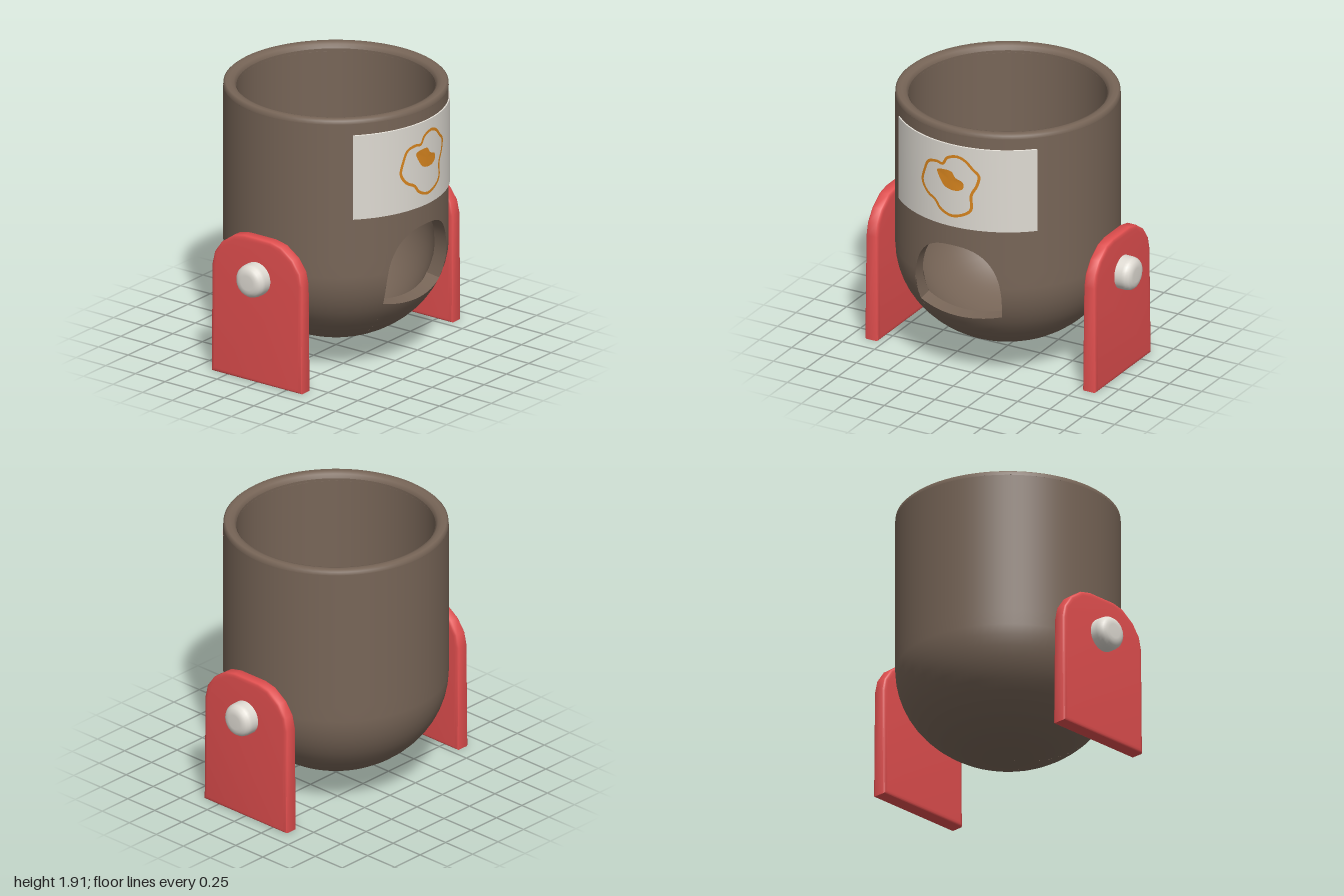
import * as THREE from 'three';
import { toCreasedNormals } from 'three/addons/utils/BufferGeometryUtils.js';

const mat = (name, color, side = THREE.FrontSide) => {
  const m = new THREE.MeshStandardMaterial({ color, side });
  m.name = name;
  return m;
};

const OUTER = { a: 0.76, b: 0.667, half: 0.46, lift: 0, flip: false };
const INNER = { a: 0.67, b: 0.58, half: 0.53, lift: 0.015, flip: true };
const SHOULDER = 0.78; // height where the wall turns into the rounded bottom
const RIM = 1.88;

// position along the wall profile for a height, and back again
const toW = (p, y) => y < SHOULDER
  ? Math.acos(Math.min(1, (SHOULDER - y) / p.b)) : Math.PI / 2 + y - SHOULDER;
function wallPoint(p, theta, w) {
  const dome = w < Math.PI / 2;
  const r = dome ? p.a * Math.sin(w) : p.a;
  const y = dome ? SHOULDER - p.b * Math.cos(w) : SHOULDER + w - Math.PI / 2;
  return new THREE.Vector3(r * Math.sin(theta), y, r * Math.cos(theta));
}
function wallNormal(p, theta, w) {
  const v = Math.min(w, Math.PI / 2);
  const n = new THREE.Vector3(Math.sin(v) / p.a * Math.sin(theta), -Math.cos(v) / p.b, Math.sin(v) / p.a * Math.cos(theta));
  return n.normalize().multiplyScalar(p.flip ? -1 : 1);
}

// curved wall patch over a list of angles, between two heights that may vary by column
function wallPatch(p, thetas, low, high, rows) {
  const pos = [], nor = [], idx = [], n = rows + 1;
  thetas.forEach((t, i) => {
    const w0 = toW(p, low(i)), w1 = toW(p, high(i));
    for (let j = 0; j <= rows; j++) {
      const w = w0 + (w1 - w0) * j / rows;
      pos.push(...wallPoint(p, t, w).toArray());
      nor.push(...wallNormal(p, t, w).toArray());
      if (i && j) {
        const d = i * n + j, c = d - 1, b = d - n, a = b - 1;
        idx.push(...(p.flip ? [a, d, c, a, b, d] : [a, c, d, a, d, b]));
      }
    }
  });
  const g = new THREE.BufferGeometry();
  g.setAttribute('position', new THREE.Float32BufferAttribute(pos, 3));
  g.setAttribute('normal', new THREE.Float32BufferAttribute(nor, 3));
  g.setIndex(idx);
  return g;
}

// closed band joining two matching loops of points
function band(P, Q) {
  const pos = [];
  P.forEach((p, i) => {
    const k = (i + 1) % P.length;
    for (const v of [p, P[k], Q[k], p, Q[k], Q[i]]) pos.push(v.x, v.y, v.z);
  });
  const g = new THREE.BufferGeometry();
  g.setAttribute('position', new THREE.Float32BufferAttribute(pos, 3));
  return toCreasedNormals(g, 0.6);
}

export function createModel() {
  const root = new THREE.Group();
  const brown = mat('brown clay', 0x776557, THREE.DoubleSide);
  const white = mat('off white', 0xdedad2);
  const red = mat('red', 0xe04e4e);
  const orange = mat('orange paint', 0xd9861f, THREE.DoubleSide);
  const add = (name, geo, material, parent = root) => {
    const m = new THREE.Mesh(geo, material);
    m.name = name;
    parent.add(m);
    return m;
  };

  // cup wall with an arched opening through the front
  const cup = new THREE.Group();
  cup.name = 'cup';
  root.add(cup);
  const COLS = 28;
  const s = Array.from({ length: COLS + 1 }, (_, i) => Math.sin((i / COLS - 0.5) * Math.PI));
  const archTop = (v) => 0.6 + 0.45 * Math.max(0, 1 - Math.abs(v) ** 2.5) ** 0.4;
  const loops = [];
  for (const p of [OUTER, INNER]) {
    const side = p.flip ? 'inner' : 'outer';
    const sill = (v) => 0.495 + p.lift + 0.04 * v * v;
    const around = Array.from({ length: 73 }, (_, i) => p.half + (2 * Math.PI - 2 * p.half) * i / 72);
    const front = s.map((v) => v * p.half);
    const floor = () => SHOULDER - p.b, rim = () => RIM;
    add(side + 'Wall', wallPatch(p, around, floor, rim, 24), brown, cup);
    add(side + 'WallBelowOpening', wallPatch(p, front, floor, (i) => sill(s[i]), 12), brown, cup);
    add(side + 'WallAboveOpening', wallPatch(p, front, (i) => archTop(s[i]), rim, 12), brown, cup);
    const edge = (f) => front.map((t, i) => wallPoint(p, t, toW(p, f(s[i]))));
    loops.push([...edge(sill), ...edge(archTop).reverse()]);
  }
  add('openingEdge', band(loops[0], loops[1]), brown, cup);

  // rounded rim
  const rimPts = [[0.76, 1.88], [0.758, 1.903], [0.745, 1.914], [0.715, 1.915], [0.688, 1.905], [0.674, 1.885], [0.67, 1.86]];
  add('rim', new THREE.LatheGeometry(rimPts.map((p) => new THREE.Vector2(...p)), 80), brown, cup);

  // curved label plate
  const labelPts = [[0.759, 1.19], [0.768, 1.193], [0.768, 1.797], [0.759, 1.8]];
  add('label', toCreasedNormals(new THREE.LatheGeometry(
    labelPts.map((p) => new THREE.Vector2(...p)), 32, -0.775, 1.55), 0.5), white);

  // painted egg: wavy outline and filled yolk, wrapped on the label
  const wrap = (v) => new THREE.Vector3(v.x, v.y, Math.sqrt(0.773 ** 2 - v.x ** 2));
  const curve = (pts) => new THREE.CatmullRomCurve3(pts.map(([x, y]) => new THREE.Vector3(x, y, 0)), true);
  const egg = curve([[0.04, 1.72], [0.1, 1.7], [0.155, 1.645], [0.197, 1.6], [0.185, 1.53], [0.145, 1.45],
    [0.145, 1.35], [0.11, 1.31], [0, 1.275], [-0.09, 1.31], [-0.13, 1.36], [-0.2, 1.4], [-0.245, 1.47],
    [-0.225, 1.56], [-0.19, 1.63], [-0.12, 1.65], [-0.07, 1.645], [-0.035, 1.695]]);
  const eggEdge = (offset) => Array.from({ length: 96 }, (_, i) => {
    const p = egg.getPoint(i / 96), t = egg.getTangent(i / 96);
    return wrap(new THREE.Vector3(p.x - t.y * offset, p.y + t.x * offset, 0));
  });
  add('eggOutline', band(eggEdge(-0.01), eggEdge(0.01)), orange);
  const yolk = curve([[-0.115, 1.59], [-0.06, 1.605], [0, 1.6], [0.03, 1.56], [0.085, 1.535], [0.085, 1.49],
    [0.03, 1.465], [-0.05, 1.48], [-0.085, 1.52]]).getPoints(48).slice(0, 48);
  const centre = new THREE.Vector3(-0.01, 1.535, 0);
  add('yolk', band(yolk.map(() => wrap(centre)), yolk.map(wrap)), orange);

  // support plate outline, drawn across z and y
  const half = [[0.38, 0], [0.38, 0.77], [0.36, 0.86], [0.3, 0.945], [0.2, 1.015], [0.11, 1.035]];
  const outline = [...half, ...half.map(([z, y]) => [-z, y]).reverse()];
  const plate = new THREE.ExtrudeGeometry(new THREE.Shape(outline.map((p) => new THREE.Vector2(...p))), {
    depth: 0.08, bevelEnabled: true, bevelThickness: 0.016, bevelSize: 0.03, bevelOffset: -0.03, bevelSegments: 3,
  });
  plate.translate(0, 0, -0.04).rotateY(Math.PI / 2);
  const pp = plate.attributes.position; // thinner toward the top
  for (let i = 0; i < pp.count; i++) pp.setX(i, pp.getX(i) * (1 - 0.24 * pp.getY(i)));
  const plateGeo = toCreasedNormals(plate, 0.7);

  // pin with a rounded end
  const pinPts = [[0.117, 0.7], [0.117, 0.94], [0.112, 0.965], [0.098, 0.985], [0.075, 0.997], [0.05, 1], [0, 1]];
  const pinGeo = new THREE.LatheGeometry(pinPts.map((p) => new THREE.Vector2(...p)), 32);

  for (const [name, dir] of [['left', 1], ['right', -1]]) {
    add(name + 'Support', plateGeo, red).position.x = 0.843 * dir;
    const pin = add(name + 'Pin', pinGeo, white);
    pin.rotation.z = -dir * Math.PI / 2;
    pin.position.y = 0.75;
  }
  return root;
}
